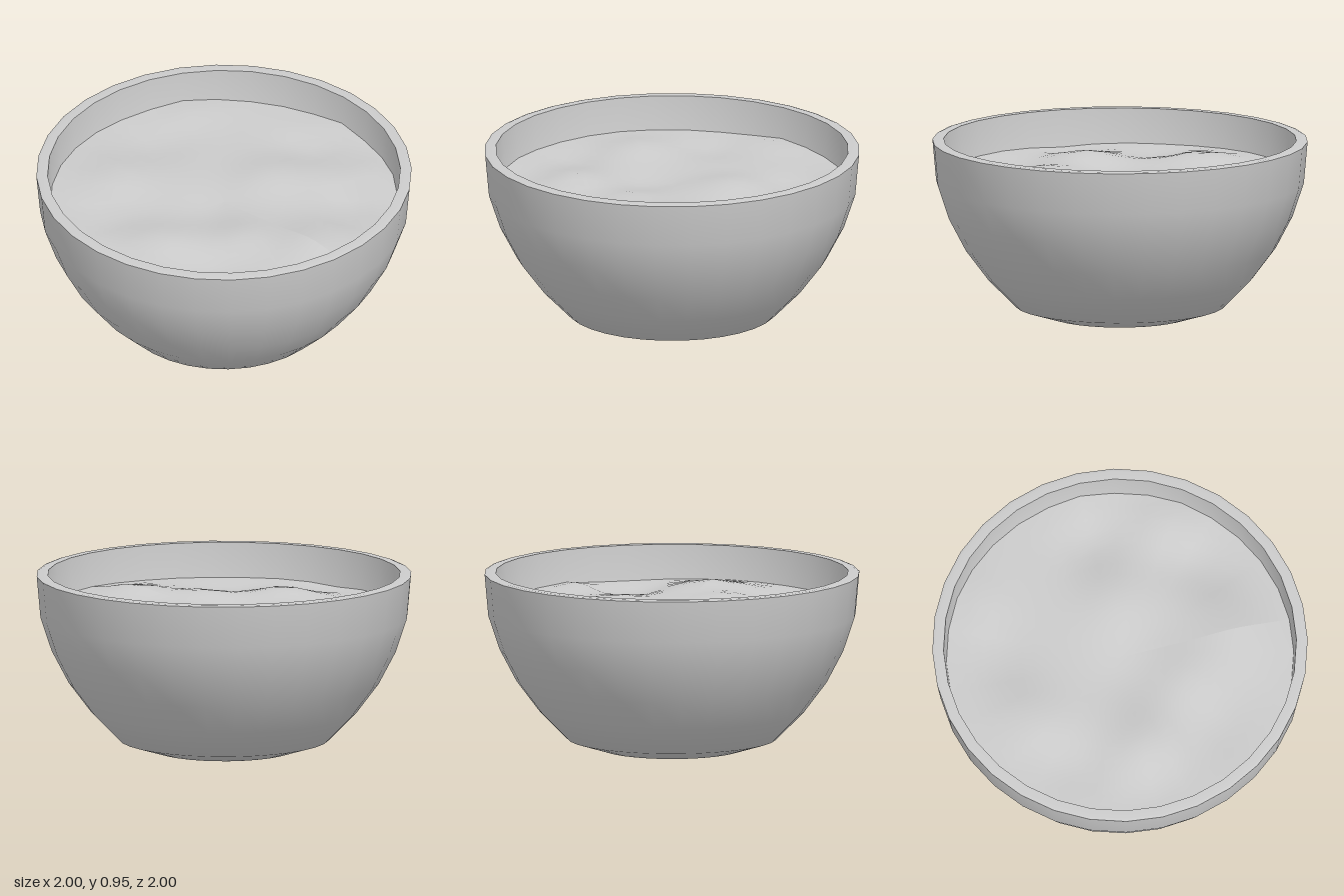
import * as THREE from 'three';

const SEGMENTS = 32;
const material = new THREE.MeshStandardMaterial({ color: 0xcccccc });

function lathe(name, profile) {
  const points = profile.map(([r, y]) => new THREE.Vector2(r, y));
  const mesh = new THREE.Mesh(new THREE.LatheGeometry(points, SEGMENTS), material);
  mesh.name = name;
  return mesh;
}

// Mounds and hollows in the filling: x, z, height, spread
const BUMPS = [
  [0.05, -0.32, 0.035, 0.2], [0.63, 0, 0.05, 0.2], [0.02, 0.52, 0.04, 0.18],
  [-0.55, 0.24, 0.04, 0.2], [-0.68, -0.48, 0.025, 0.16], [0.32, 0.2, 0.03, 0.17],
  [0.42, -0.68, 0.03, 0.15], [0, -0.92, 0.025, 0.14],
  [0, -0.66, -0.03, 0.15], [0.53, -0.42, -0.04, 0.17], [0.4, 0.52, -0.025, 0.17],
  [0, 0.8, -0.025, 0.16], [-0.38, 0.55, -0.025, 0.16], [-0.62, -0.16, -0.025, 0.18],
  [0, 0.12, -0.02, 0.18],
];

function fillingHeight(x, z) {
  let y = 0.767;
  for (const [bx, bz, h, s] of BUMPS) {
    y += h * Math.exp(-((x - bx) ** 2 + (z - bz) ** 2) / (s * s));
  }
  return y;
}

// Uneven surface that meets the inner wall
function filling() {
  const geometry = new THREE.RingGeometry(0.0001, 0.926, SEGMENTS, 14);
  geometry.rotateX(-Math.PI / 2);
  const position = geometry.attributes.position;
  for (let i = 0; i < position.count; i++) {
    position.setY(i, fillingHeight(position.getX(i), position.getZ(i)));
  }
  geometry.deleteAttribute('uv');
  geometry.computeVertexNormals();
  const mesh = new THREE.Mesh(geometry, material);
  mesh.name = 'filling';
  return mesh;
}

export function createModel() {
  const model = new THREE.Group();
  model.name = 'filledBowl';

  model.add(lathe('bowlOutside', [
    [0, 0], [0.2, 0], [0.38, 0.004], [0.56, 0.06], [0.71, 0.213],
    [0.83, 0.373], [0.92, 0.545], [0.98, 0.725], [1, 0.948],
  ]));
  model.add(lathe('bowlRim', [[1, 0.948], [0.985, 0.953], [0.94, 0.953]]));
  model.add(lathe('bowlInside', [
    [0.94, 0.953], [0.922, 0.73], [0.865, 0.56], [0.78, 0.4],
    [0.66, 0.25], [0.52, 0.12], [0.35, 0.065], [0, 0.06],
  ]));
  model.add(filling());
  return model;
}
